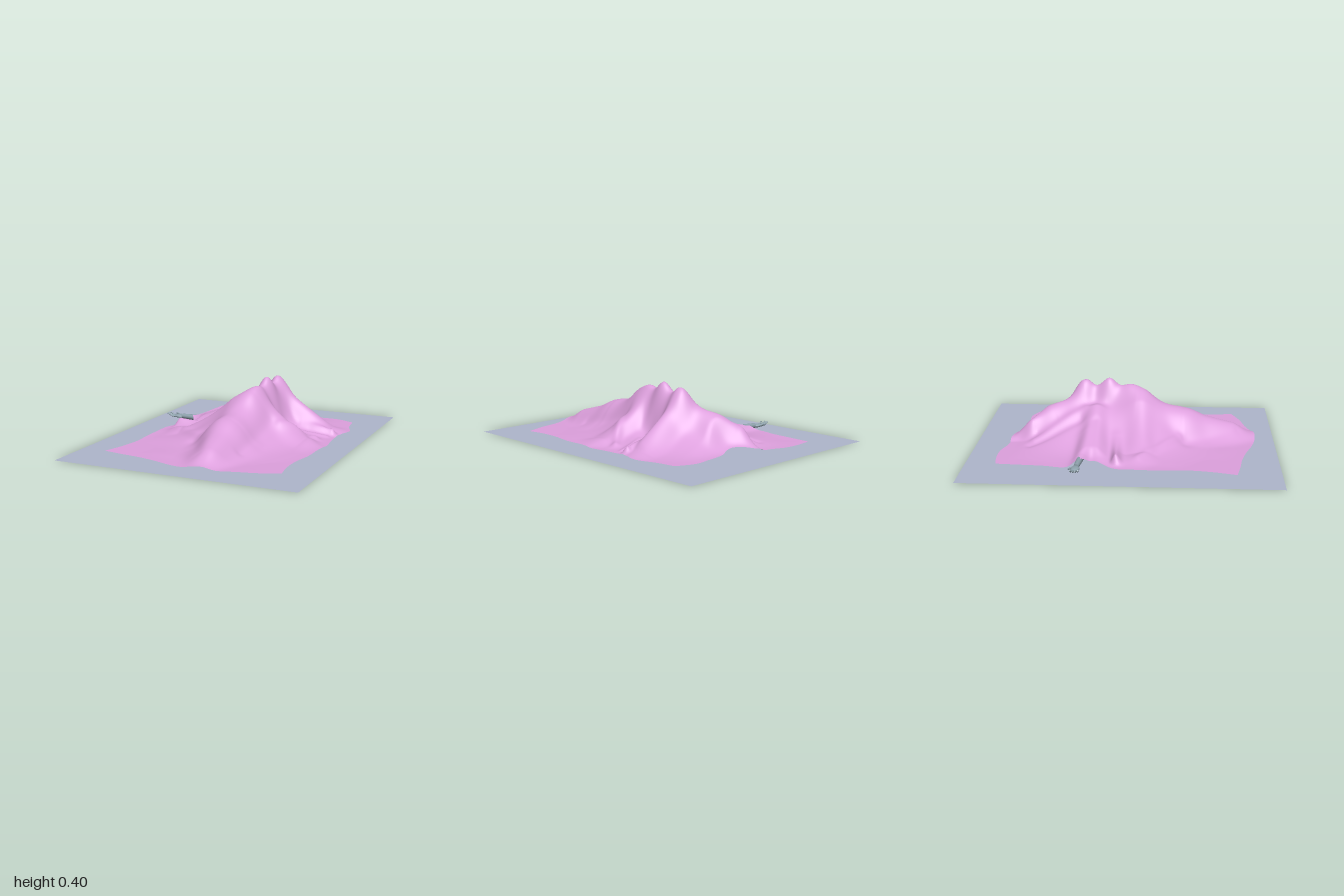
import * as THREE from 'three';

// smooth 1D curve through evenly spaced values
function curve1D(values) {
  const n = values.length - 1;
  return (t) => {
    const f = Math.min(Math.max(t, 0), 1) * n, i = Math.min(Math.floor(f), n - 1), k = f - i;
    const p1 = values[i], p2 = values[i + 1];
    const p0 = i > 0 ? values[i - 1] : 2 * p1 - p2, p3 = i < n - 1 ? values[i + 2] : 2 * p2 - p1;
    return p1 + 0.5 * k * (p2 - p0 + k * (2 * p0 - 5 * p1 + 4 * p2 - p3 + k * (3 * (p1 - p2) + p3 - p0)));
  };
}

// ridge from a to b: [x, z, height, width on the left, width on the right] at each end
function ridgeHeight([a, b, power = 2], x, z) {
  const dx = b[0] - a[0], dz = b[1] - a[1], len2 = dx * dx + dz * dz;
  const t = Math.min(Math.max(((x - a[0]) * dx + (z - a[1]) * dz) / len2, 0), 1);
  const px = x - a[0] - dx * t, pz = z - a[1] - dz * t;
  const mix = (i) => a[i] + (b[i] - a[i]) * t;
  const side = (dx * pz - dz * px) / Math.sqrt(len2);   // positive: to the right when walking from a to b, z down
  const blend = 1 / (1 + Math.exp(-side * 60));
  const w = mix(3) * (1 - blend) + mix(4) * blend;
  return mix(2) * Math.exp(-Math.pow(Math.hypot(px, pz) / w, power));
}

// hem of the sheet
const leftHem = curve1D([-0.5, -0.51, -0.52, -0.54, -0.45, -0.55, -0.56, -0.56, -0.55, -0.57, -0.61]);
const rightHem = curve1D([0.59, 0.61, 0.655, 0.62, 0.62, 0.635, 0.62, 0.61, 0.585, 0.58, 0.6]);
const backHem = curve1D([-0.8, -0.815, -0.81, -0.775, -0.765, -0.67, -0.695, -0.705, -0.71, -0.66]);
const frontHem = curve1D([0.72, 0.745, 0.765, 0.8, 0.845, 0.872, 0.86, 0.82, 0.79, 0.74]);

// large forms of the covered body
const body = [
  // back and hip, broad then narrow crest
  [[0.08, -0.32, 0.2, 0.27, 0.27], [0.06, 0.1, 0.23, 0.27, 0.27]],
  [[0.17, -0.3, 0.3, 0.13, 0.12], [0.15, -0.12, 0.34, 0.13, 0.1]],
  [[0.15, -0.12, 0.34, 0.1, 0.13], [0.12, 0.1, 0.28, 0.15, 0.17]],
  // legs narrowing towards the feet
  [[0.12, 0.08, 0.27, 0.19, 0.23], [0.08, 0.38, 0.18, 0.19, 0.18], 2.4],
  [[0.08, 0.38, 0.18, 0.19, 0.18], [0.13, 0.88, 0.06, 0.07, 0.09], 2.4],
  // shoulders and head
  [[0.14, -0.3, 0.29, 0.13, 0.16], [0.06, -0.5, 0.19, 0.15, 0.13]],
  [[0.06, -0.5, 0.19, 0.13, 0.18], [-0.01, -0.63, 0.15, 0.08, 0.16], 2.4],
  // sheet stretched to both sides
  [[0.17, -0.28, 0.31, 0.14, 0.1], [0.56, -0.3, 0.04, 0.12, 0.07]],
  [[0.16, 0.02, 0.28, 0.12, 0.16], [0.5, 0.06, 0.04, 0.08, 0.16]],
  [[0, -0.2, 0.22, 0.14, 0.14], [-0.42, -0.2, 0.055, 0.1, 0.08]],
  [[0, 0.1, 0.22, 0.14, 0.16], [-0.36, 0.12, 0.04, 0.1, 0.14]],
];
// narrow pleats, positive up, negative down
const pleats = [
  [[-0.2, -0.27, 0.012, 0.05, 0.05], [-0.56, -0.27, 0.04, 0.045, 0.045]],
  [[-0.12, -0.2, -0.012, 0.03, 0.03], [-0.45, -0.205, -0.01, 0.03, 0.03]],
  [[-0.2, -0.05, 0.01, 0.04, 0.04], [-0.47, -0.04, 0.06, 0.035, 0.022]],
  [[-0.15, -0.6, 0.012, 0.03, 0.03], [0.02, -0.28, 0.014, 0.03, 0.03]],
  [[-0.2, -0.62, -0.01, 0.03, 0.03], [-0.06, -0.3, -0.014, 0.03, 0.03]],
  [[-0.42, 0.1, 0.01, 0.03, 0.03], [-0.12, 0.36, 0.014, 0.03, 0.03]],
  [[-0.13, 0.4, -0.014, 0.05, 0.05], [0.06, 0.74, -0.01, 0.04, 0.04]],
  [[0.27, 0.12, -0.015, 0.04, 0.04], [0.25, 0.55, -0.01, 0.03, 0.03]],
  [[0.3, -0.12, -0.03, 0.06, 0.06], [0.42, -0.17, -0.01, 0.04, 0.04]],
  [[0.38, -0.2, 0.01, 0.025, 0.025], [0.58, -0.235, 0.04, 0.025, 0.025]],
  [[0.38, -0.13, 0.008, 0.02, 0.02], [0.56, -0.17, 0.012, 0.02, 0.02]],
  [[0.34, 0.1, 0.012, 0.03, 0.03], [0.52, -0.06, 0.02, 0.03, 0.03]],
];

function sheetHeight(x, z, u, v) {
  let sum = 0;
  for (const r of body) sum += Math.pow(ridgeHeight(r, x, z), 5);
  const d = Math.min(u, 1 - u, v, 1 - v) / 0.1;
  const s = d < 1 ? d * d * (3 - 2 * d) : 1;
  let h = Math.pow(sum, 0.2) * (0.35 + 0.65 * s);
  for (const p of pleats) h += ridgeHeight(p, x, z);
  h += 0.003 * s * Math.sin(9 * x + 5 * z) * Math.sin(11 * z - 4 * x);
  return 0.014 + Math.max(h, 0);
}

function makeSheet(material) {
  const geo = new THREE.PlaneGeometry(1, 1, 130, 170);
  const pos = geo.attributes.position;
  for (let i = 0; i < pos.count; i++) {
    const u = pos.getX(i) + 0.5, v = 0.5 - pos.getY(i);
    const x = THREE.MathUtils.lerp(leftHem(v), rightHem(v), u);
    const z = THREE.MathUtils.lerp(backHem(u), frontHem(u), v);
    pos.setXYZ(i, x, sheetHeight(x, z, u, v), z);
  }
  geo.computeVertexNormals();
  const mesh = new THREE.Mesh(geo, material);
  mesh.name = 'drapedSheet';
  return mesh;
}

// tapered limb between two points
function limb(name, from, to, r0, r1, material) {
  const a = new THREE.Vector3(...from), b = new THREE.Vector3(...to);
  const dir = b.clone().sub(a);
  const mesh = new THREE.Mesh(new THREE.CylinderGeometry(r1, r0, dir.length(), 10), material);
  mesh.position.copy(a).add(b).multiplyScalar(0.5);
  mesh.quaternion.setFromUnitVectors(new THREE.Vector3(0, 1, 0), dir.normalize());
  mesh.name = name;
  return mesh;
}

function makeHand(material) {
  const hand = new THREE.Group();
  hand.name = 'hand';
  hand.add(limb('forearm', [-0.4, 0.035, -0.265], [-0.575, 0.034, -0.278], 0.024, 0.017, material));
  const palm = new THREE.Mesh(new THREE.SphereGeometry(1, 16, 12), material);
  palm.scale.set(0.042, 0.012, 0.028);
  palm.position.set(-0.602, 0.031, -0.282);
  palm.name = 'palm';
  hand.add(palm);
  // four fingers curling up at the tips
  const reach = [0.675, 0.695, 0.698, 0.685];
  reach.forEach((x, i) => {
    const z0 = -0.265 - i * 0.012, z1 = -0.258 - i * 0.016, xm = (0.625 + x) / 2;
    const mid = [-xm, 0.032, (z0 + z1) / 2];
    hand.add(limb('fingerBase', [-0.618, 0.03, z0], mid, 0.007, 0.006, material));
    hand.add(limb('fingerTip', mid, [-x, 0.047, z1], 0.006, 0.004, material));
  });
  hand.add(limb('thumb', [-0.59, 0.032, -0.3], [-0.645, 0.044, -0.32], 0.008, 0.005, material));
  return hand;
}

export function createModel() {
  const paint = (name, color, side = THREE.FrontSide) => {
    const m = new THREE.MeshStandardMaterial({ color, side });
    m.name = name;
    return m;
  };
  const floorGrey = paint('floor blue grey', 0xaeb6cc, THREE.DoubleSide);
  const sheetPink = paint('sheet pink', 0xdda0dd, THREE.DoubleSide);
  const skinGrey = paint('skin grey', 0x8fa3ad);

  const model = new THREE.Group();
  model.name = 'coveredFigure';
  const floor = new THREE.Mesh(new THREE.PlaneGeometry(1.6, 2).rotateX(-Math.PI / 2), floorGrey);
  floor.name = 'floor';
  model.add(floor, makeSheet(sheetPink), makeHand(skinGrey));
  return model;
}
